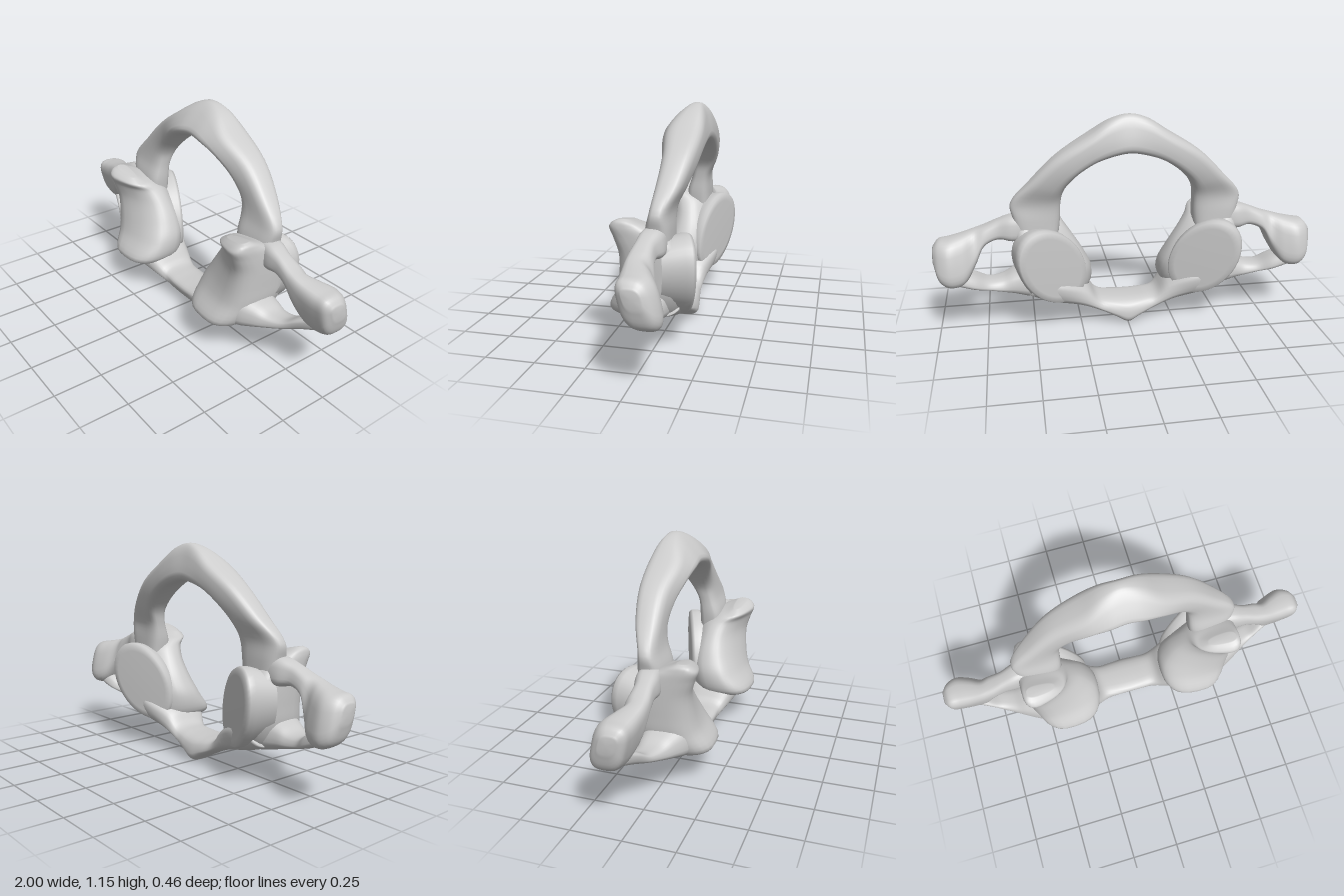
import * as THREE from 'three';

const material = new THREE.MeshStandardMaterial({ color: 0xcccccc });
const RING = 28;

// Smooth loft through four-cornered sections; each outline is a superellipse fitted in its corners.
function loft(name, sections, { side = 1, steps = 5, power = 2.8 } = {}) {
  const rails = [0, 1, 2, 3].map(k => new THREE.CatmullRomCurve3(
    sections.map(s => new THREE.Vector3(s[k][0] * side, s[k][1], s[k][2]))));
  const rows = (sections.length - 1) * steps;
  const pos = [], index = [];
  const soft = c => Math.sign(c) * Math.abs(c) ** (2 / power);
  for (let i = 0; i <= rows; i++) {
    const [a, b, c, d] = rails.map(r => r.getPoint(i / rows));
    for (let j = 0; j < RING; j++) {
      const t = j / RING * Math.PI * 2;
      const u = (soft(Math.cos(t)) + 1) / 2, v = (soft(Math.sin(t)) + 1) / 2;
      const p = a.clone().lerp(b, u).lerp(d.clone().lerp(c, u), v);
      pos.push(p.x, p.y, p.z);
      if (i < rows) {
        const n = (j + 1) % RING, q = i * RING;
        index.push(q + j, q + n, q + RING + j, q + n, q + RING + n, q + RING + j);
      }
    }
  }
  // End caps
  for (const row of [0, rows]) {
    const mid = new THREE.Vector3();
    rails.forEach(r => mid.addScaledVector(r.getPoint(row / rows), 0.25));
    const centre = pos.push(mid.x, mid.y, mid.z) / 3 - 1;
    for (let j = 0; j < RING; j++) {
      const p = row * RING + j, n = row * RING + (j + 1) % RING;
      index.push(centre, ...(row ? [p, n] : [n, p]));
    }
  }
  // Turn faces outward if the signed volume is negative
  const at = i => new THREE.Vector3().fromArray(pos, i * 3);
  let volume = 0;
  for (let i = 0; i < index.length; i += 3)
    volume += at(index[i]).dot(at(index[i + 1]).cross(at(index[i + 2])));
  if (volume < 0) index.reverse();
  const geo = new THREE.BufferGeometry();
  geo.setAttribute('position', new THREE.Float32BufferAttribute(pos, 3));
  geo.setIndex(index);
  geo.computeVertexNormals();
  const mesh = new THREE.Mesh(geo, material);
  mesh.name = name;
  return mesh;
}

// Extend a half list of sections (ending at x = 0) across the middle
const mirrored = half => [...half,
  ...half.slice(0, -1).reverse().map(s => s.map(([x, y, z]) => [-x, y, z]))];

// Section spanning an inner and an outer point, with front and back depths for each;
// tilt raises the inner front edge and lowers the inner back edge
const archSection = ([xi, yi, xo, yo, fi, fo, bi, bo, tilt = 0]) =>
  [[xi, yi + tilt, fi], [xo, yo, fo], [xo, yo, bo], [xi, yi - tilt, bi]];
// Level slice of the side mass, with an optional drop toward the inner edge
const massSection = ([y, xi, xo, fi, fo, bi, bo, drop = 0]) =>
  [[xi, y - drop, fi], [xo, y, fo], [xo, y, bo], [xi, y - drop, bi]];
// Upright slice of a bar, with front and back depths at top and bottom
const barSection = ([x, yt, yb, ft, fb, bt, bb]) =>
  [[x, yt, ft], [x, yb, fb], [x, yb, bb], [x, yt, bt]];

export function createModel() {
  const model = new THREE.Group();
  model.name = 'ringVertebra';

  // Tall arch closing the top of the ring
  model.add(loft('upperArch', mirrored([
    [0.37, 0.46, 0.56, 0.48, 0.03, 0.02, -0.10, -0.10],
    [0.35, 0.60, 0.59, 0.62, 0.03, 0.02, -0.10, -0.10],
    [0.345, 0.70, 0.60, 0.70, 0.00, 0.00, -0.11, -0.09],
    [0.33, 0.77, 0.50, 0.82, -0.01, -0.01, -0.14, -0.14],
    [0.27, 0.85, 0.37, 0.95, 0.01, -0.02, -0.17, -0.17, 0.01],
    [0.18, 0.92, 0.20, 1.06, 0.045, -0.01, -0.185, -0.18, 0.02],
    [0.09, 0.955, 0.09, 1.13, 0.07, -0.05, -0.195, -0.165, 0.025],
    [0.00, 0.97, 0.00, 1.152, 0.07, -0.07, -0.20, -0.15, 0.025],
  ].map(archSection)), { power: 3.2 }));

  // Broad underside narrowing to a thin arch, drawn down to a blunt point
  model.add(loft('lowerArch', mirrored([
    [0.44, 0.34, 0.53, 0.19, 0.15, 0.13, -0.16, -0.13],
    [0.35, 0.30, 0.42, 0.148, 0.19, 0.18, -0.17, -0.14],
    [0.22, 0.23, 0.25, 0.11, 0.14, 0.15, -0.11, -0.13],
    [0.16, 0.155, 0.13, 0.065, 0.10, 0.10, -0.09, -0.12],
    [0.08, 0.14, 0.06, 0.03, 0.11, 0.07, -0.10, -0.13],
    [0.00, 0.137, 0.00, 0.00, 0.12, 0.04, -0.11, -0.135],
  ].map(archSection))));

  // Rounded disc outline for the joint face
  const facetProfile = [[0.85, -0.14], [1, -0.03], [1, 0], [0.96, 0.015], [0.8, 0.02], [0, 0.02]]
    .map(([r, h]) => new THREE.Vector2(r, h));

  for (const [label, side] of [['left', 1], ['right', -1]]) {
    const half = new THREE.Group();
    half.name = label + 'Side';

    // Heavy side mass with a hollowed front face
    half.add(loft('sideMass', [
      [0.15, 0.30, 0.46, 0.14, 0.16, 0.00, -0.03],
      [0.195, 0.20, 0.53, 0.225, 0.24, -0.08, -0.15],
      [0.30, 0.185, 0.575, 0.15, 0.20, -0.09, -0.20],
      [0.40, 0.225, 0.585, 0.10, 0.19, -0.09, -0.21],
      [0.50, 0.285, 0.59, 0.08, 0.19, -0.07, -0.19],
      [0.58, 0.33, 0.59, 0.10, 0.21, -0.05, -0.12, 0.015],
      [0.63, 0.355, 0.587, 0.14, 0.215, 0.00, -0.01, 0.03],
      [0.655, 0.38, 0.58, 0.14, 0.19, 0.05, 0.05, 0.04],
      [0.668, 0.42, 0.56, 0.13, 0.15, 0.09, 0.09, 0.03],
    ].map(massSection), { side, power: 2.7 }));

    // Oval joint face on the back, leaning outward and turned toward the middle
    const facet = new THREE.Mesh(new THREE.LatheGeometry(facetProfile, 40), material);
    facet.name = 'jointFace';
    facet.geometry.scale(0.165, 1, 0.235).rotateX(-Math.PI / 2)
      .rotateZ(-0.65 * side).rotateY(0.4 * side);
    facet.position.set(0.4 * side, 0.375, -0.143);
    half.add(facet);

    // Upper bar widening into the outer tip
    half.add(loft('upperBarAndTip', [
      [0.50, 0.64, 0.50, 0.02, 0.02, -0.09, -0.09],
      [0.60, 0.635, 0.50, 0.03, 0.04, -0.08, -0.10],
      [0.67, 0.61, 0.51, 0.03, 0.04, -0.06, -0.08],
      [0.74, 0.58, 0.48, 0.04, 0.045, -0.06, -0.09],
      [0.79, 0.563, 0.385, 0.05, 0.03, -0.06, -0.12],
      [0.85, 0.548, 0.30, 0.055, 0.00, -0.10, -0.165],
      [0.92, 0.535, 0.29, 0.05, -0.01, -0.13, -0.18],
      [0.97, 0.525, 0.32, 0.04, -0.01, -0.11, -0.16],
      [1.00, 0.49, 0.41, 0.00, -0.03, -0.08, -0.10],
    ].map(barSection), { side, power: 3 }));

    // Slim lower bar that closes the side opening
    half.add(loft('lowerBar', [
      [0.42, 0.32, 0.155, 0.16, 0.18, -0.08, -0.10],
      [0.52, 0.34, 0.17, 0.14, 0.16, -0.08, -0.10],
      [0.60, 0.315, 0.195, 0.10, 0.12, -0.07, -0.09],
      [0.66, 0.288, 0.213, 0.07, 0.08, -0.06, -0.09],
      [0.73, 0.288, 0.235, 0.04, 0.04, -0.07, -0.10],
      [0.80, 0.33, 0.258, 0.02, 0.00, -0.10, -0.13],
      [0.90, 0.38, 0.295, -0.02, -0.03, -0.12, -0.14],
    ].map(barSection), { side }));

    model.add(half);
  }
  return model;
}
